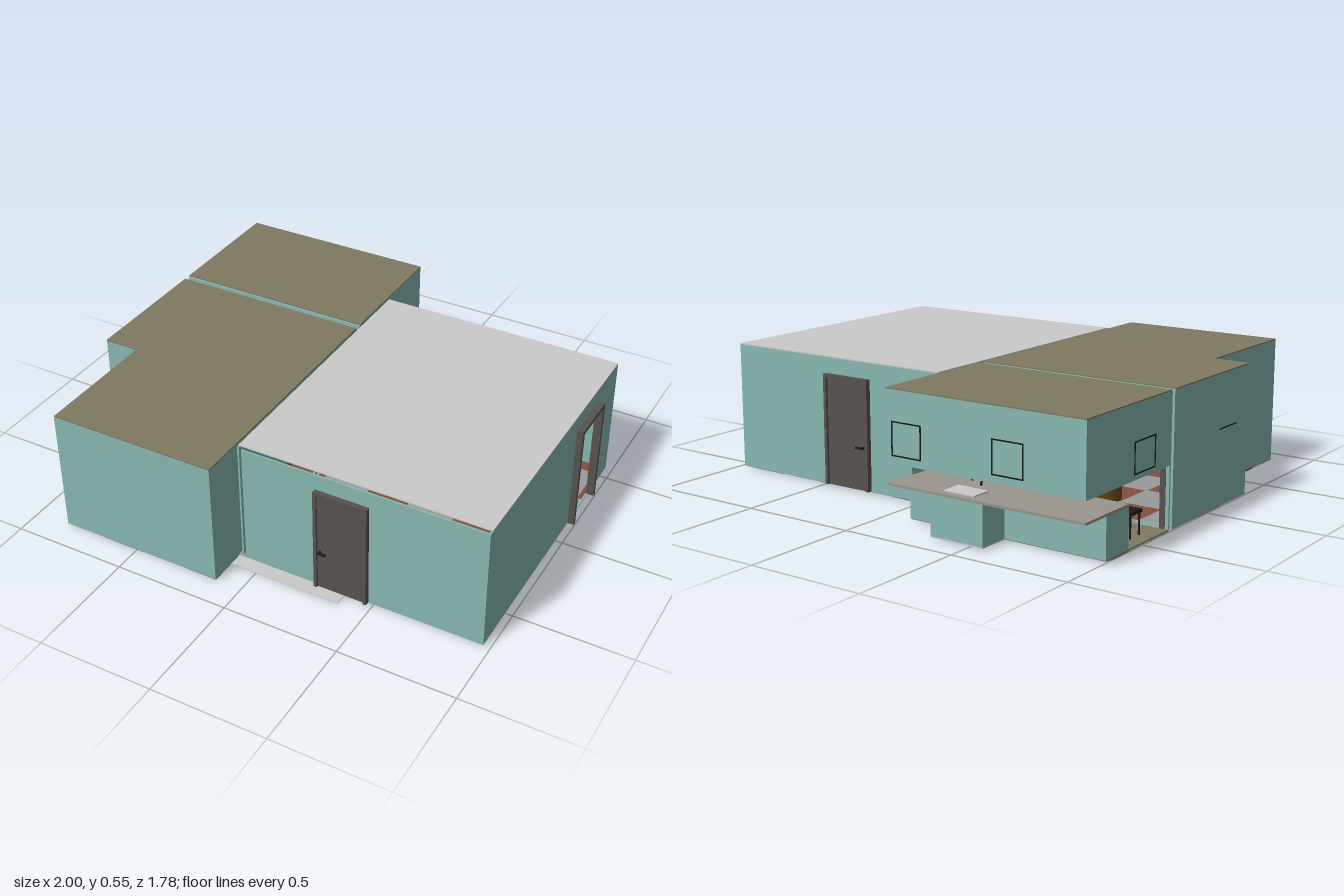
import * as THREE from 'three';

const material = (name, color, side = THREE.FrontSide) => {
  const m = new THREE.MeshStandardMaterial({ color, side });
  m.name = name;
  return m;
};

export function createModel() {
  const house = new THREE.Group();
  house.name = 'house';
  const teal = material('teal wall', 0x86b8b0, THREE.DoubleSide);
  const pale = material('pale grey', 0xcacaca);
  const olive = material('olive roof', 0x807860);
  const dark = material('dark door', 0x57524e);
  const tile = material('brown tile', 0x84503a);
  const stone = material('grey floor', 0x9b9b9b);
  const worktop = material('worktop', 0x9a958c);
  const black = material('black trim', 0x1c1a18);
  const wood = material('brown wood', 0x6a4a1e);
  const art = material('orange picture', 0xa8664a);

  const T = 0.008;     // wall thickness
  const TOP = 0.545;   // wall height below the roof plates
  const BASE = 0.008;  // underside of the walls

  const add = (name, geo, mat, parent = house) => {
    const mesh = new THREE.Mesh(geo, mat);
    mesh.name = name;
    parent.add(mesh);
    return mesh;
  };
  const box = (name, mat, x0, x1, y0, y1, z0, z1, parent = house) => {
    const mesh = add(name, new THREE.BoxGeometry(x1 - x0, y1 - y0, z1 - z0), mat, parent);
    mesh.position.set((x0 + x1) / 2, (y0 + y1) / 2, (z0 + z1) / 2);
    return mesh;
  };
  // Upright panel along x (at a given z) or along z (at a given x), with [u0,u1,y0,y1] openings
  const wall = (name, axis, at, u0, u1, openings = [], y0 = BASE, y1 = TOP) => {
    const rect = (p, a, b, c, d) => {
      p.moveTo(a, c); p.lineTo(b, c); p.lineTo(b, d); p.lineTo(a, d); p.closePath();
      return p;
    };
    const shape = rect(new THREE.Shape(), u0, u1, y0, y1);
    for (const [a, b, c, d] of openings) shape.holes.push(rect(new THREE.Path(), a, b, c, d));
    const geo = new THREE.ExtrudeGeometry(shape, { depth: T, bevelEnabled: false });
    geo.translate(0, 0, -T / 2);
    if (axis === 'z') geo.rotateY(-Math.PI / 2);
    return add(name, geo, teal);
  };
  // Rectangular border: two uprights, a top rail and an optional bottom rail
  const frame = (name, mat, axis, at, depth, u0, u1, y0, y1, w, sill = false) => {
    const g = new THREE.Group();
    g.name = name;
    const bars = [[u0, u0 + w, y0, y1], [u1 - w, u1, y0, y1], [u0 + w, u1 - w, y1 - w, y1]];
    if (sill) bars.push([u0 + w, u1 - w, y0, y0 + w]);
    for (const [a, b, c, d] of bars) {
      if (axis === 'x') box(name + 'Bar', mat, a, b, c, d, at, at + depth, g);
      else box(name + 'Bar', mat, at, at + depth, c, d, a, b, g);
    }
    house.add(g);
  };
  const place = (mesh, axis, at) => mesh.position.setComponent(axis === 'x' ? 2 : 0, at);

  // Walls: name, direction, position, start, end, openings, bottom, top
  const walls = [
    ['mainFrontWall', 'x', 0.706, -0.08, 0.972],
    ['mainBackWall', 'x', -0.556, -0.104, 0.972],
    ['mainSideWall', 'z', 0.968, -0.56, 0.71, [[-0.35, -0.13, 0.012, 0.465]]],
    ['mainInnerWall', 'z', -0.1, -0.56, 0.7, [[-0.21, 0.35, 0.012, 0.45]]],
    ['wingFrontWall', 'x', 0.878, -0.845, -0.115],
    ['wingInnerWall', 'z', -0.119, -0.275, 0.88, [[-0.21, 0.35, 0.012, 0.45]]],
    ['wingOuterWall', 'z', -0.841, 0.32, 0.88],
    ['wingStepWall', 'x', 0.316, -1, -0.845],
    ['wingSideWall', 'z', -0.996, -0.275, 0.32],
    ['wingBackWall', 'x', -0.279, -1, -0.115, [[-0.96, -0.63, 0.012, 0.45], [-0.53, -0.19, 0.012, 0.45]]],
    ['kitchenFrontWall', 'x', -0.306, -1, -0.115, [[-0.96, -0.63, 0.012, 0.45], [-0.53, -0.19, 0.012, 0.45]]],
    ['kitchenInnerWall', 'z', -0.119, -0.75, -0.31],
    ['kitchenInnerUpperWall', 'z', -0.119, -0.89, -0.75, [], 0.26],
    ['kitchenUpperBackWall', 'x', -0.886, -1, -0.115, [], 0.26],
    ['kitchenUpperSideWall', 'z', -0.996, -0.89, -0.31, [], 0.26],
    ['kitchenLowerBackWall', 'x', -0.75, -1, -0.115, [], BASE, 0.18],
    ['kitchenLowerSideWall', 'z', -0.996, -0.75, -0.6, [], BASE, 0.18],
  ];
  for (const [name, axis, at, ...rest] of walls) place(wall(name, axis, at, ...rest), axis, at);

  // Roof plates
  box('mainRoof', pale, -0.104, 0.972, TOP, 0.55, -0.56, 0.69);
  box('wingRoof', olive, -1, -0.115, TOP, 0.55, -0.275, 0.32);
  box('wingFrontRoof', olive, -0.845, -0.115, TOP, 0.55, 0.32, 0.88);
  box('kitchenRoof', olive, -1, -0.115, TOP, 0.55, -0.89, -0.31);

  // Floors with a chequered pattern, clipped to each room
  const rooms = [
    [-0.115, 0.97, -0.555, 0.705],
    [-0.845, -0.115, -0.275, 0.88],
    [-1, -0.845, -0.275, 0.32],
  ];
  const cell = 0.2;
  for (const [x0, x1, z0, z1] of rooms) {
    box('floor', stone, x0, x1, 0.004, 0.01, z0, z1);
    for (let i = -9; i <= 3; i++) {
      for (let j = -4; j <= 5; j++) {
        if ((i + j) % 2) continue;
        const cx = 0.64 + i * cell, cz = 0.01 + j * cell, h = 0.094;
        const a = Math.max(cx - h, x0), b = Math.min(cx + h, x1);
        const c = Math.max(cz - h, z0), d = Math.min(cz + h, z1);
        if (b - a > 0.01 && d - c > 0.01) box('floorTile', tile, a, b, 0.003, 0.011, c, d);
      }
    }
  }
  box('kitchenFloor', olive, -1, -0.115, 0.004, 0.01, -0.75, -0.31);
  box('porchSlab', pale, -0.22, 0.375, 0, 0.003, 0.215, 0.765);
  box('kitchenStep', stone, -1, -0.87, 0, 0.004, -0.72, -0.6);

  // Closed doors at front and back, each with frame and handle
  for (const [name, z, s] of [['frontDoor', 0.71, 1], ['backDoor', -0.56, -1]]) {
    box(name, dark, 0.26, 0.465, 0.01, 0.465, Math.min(z, z + s * 0.012), Math.max(z, z + s * 0.012));
    frame(name + 'Frame', dark, 'x', s > 0 ? z : z - 0.022, 0.022, 0.247, 0.48, 0.01, 0.478, 0.014);
    box(name + 'Handle', black, 0.27, 0.305, 0.188, 0.196, z + s * 0.027 - 0.004, z + s * 0.027 + 0.004);
    box(name + 'HandleStem', black, 0.27, 0.278, 0.188, 0.196, z + s * 0.02 - 0.01, z + s * 0.02 + 0.01);
  }
  // Open doorways
  frame('sideDoorFrame', dark, 'z', 0.966, 0.034, -0.36, -0.12, 0.01, 0.48, 0.018);
  frame('hallDoorFrame', dark, 'z', -0.115, 0.035, -0.22, 0.36, 0.01, 0.45, 0.018);
  frame('bedroomDoorFrame', dark, 'x', -0.311, 0.037, -0.985, -0.61, 0.01, 0.465, 0.025);
  frame('kitchenDoorFrame', dark, 'x', -0.311, 0.037, -0.55, -0.17, 0.01, 0.465, 0.025);

  // Thin window outlines on the outer kitchen walls and the wing
  frame('kitchenWindow', black, 'x', -0.893, 0.006, -0.74, -0.6, 0.29, 0.425, 0.005, true);
  frame('kitchenWindow', black, 'x', -0.893, 0.006, -0.28, -0.14, 0.29, 0.425, 0.005, true);
  frame('kitchenSideWindow', black, 'z', -1.002, 0.006, -0.57, -0.42, 0.28, 0.405, 0.005, true);
  box('wingTrim', black, -1.002, -0.996, 0.32, 0.325, 0.08, 0.22);

  // Kitchen counter, cupboard and sink
  box('counter', worktop, -1, -0.115, 0.172, 0.182, -0.89, -0.6);
  box('cupboard', teal, -0.56, -0.32, 0.01, 0.172, -0.89, -0.75);
  box('cupboardBottom', pale, -0.56, -0.32, 0.005, 0.01, -0.89, -0.75);
  box('sink', pale, -0.5, -0.36, 0.182, 0.187, -0.86, -0.77);
  const tapPath = new THREE.CatmullRomCurve3([
    [-0.43, 0.185, -0.72], [-0.43, 0.225, -0.72], [-0.43, 0.235, -0.76], [-0.43, 0.215, -0.78],
  ].map((p) => new THREE.Vector3(...p)));
  add('tap', new THREE.TubeGeometry(tapPath, 10, 0.005, 6), black);

  // Kitchen stool beside the side opening
  const stool = new THREE.Group();
  stool.name = 'stool';
  box('stoolSeat', black, -0.95, -0.87, 0.1, 0.112, -0.5, -0.42, stool);
  for (const x of [-0.945, -0.881])
    for (const z of [-0.495, -0.431]) box('stoolLeg', black, x, x + 0.006, 0.01, 0.1, z, z + 0.006, stool);
  house.add(stool);

  // Furniture seen through the doorways
  box('picture', art, -0.99, -0.985, 0.33, 0.455, -0.225, -0.1);
  const barrel = add('roundTable', new THREE.CylinderGeometry(0.085, 0.085, 0.14, 24), wood);
  barrel.position.set(-0.6, 0.1, -0.15);
  box('sofaSeat', wood, -0.08, 0.05, 0.025, 0.07, -0.46, -0.27);
  box('sofaBack', wood, -0.08, -0.05, 0.07, 0.11, -0.46, -0.305);

  return house;
}
